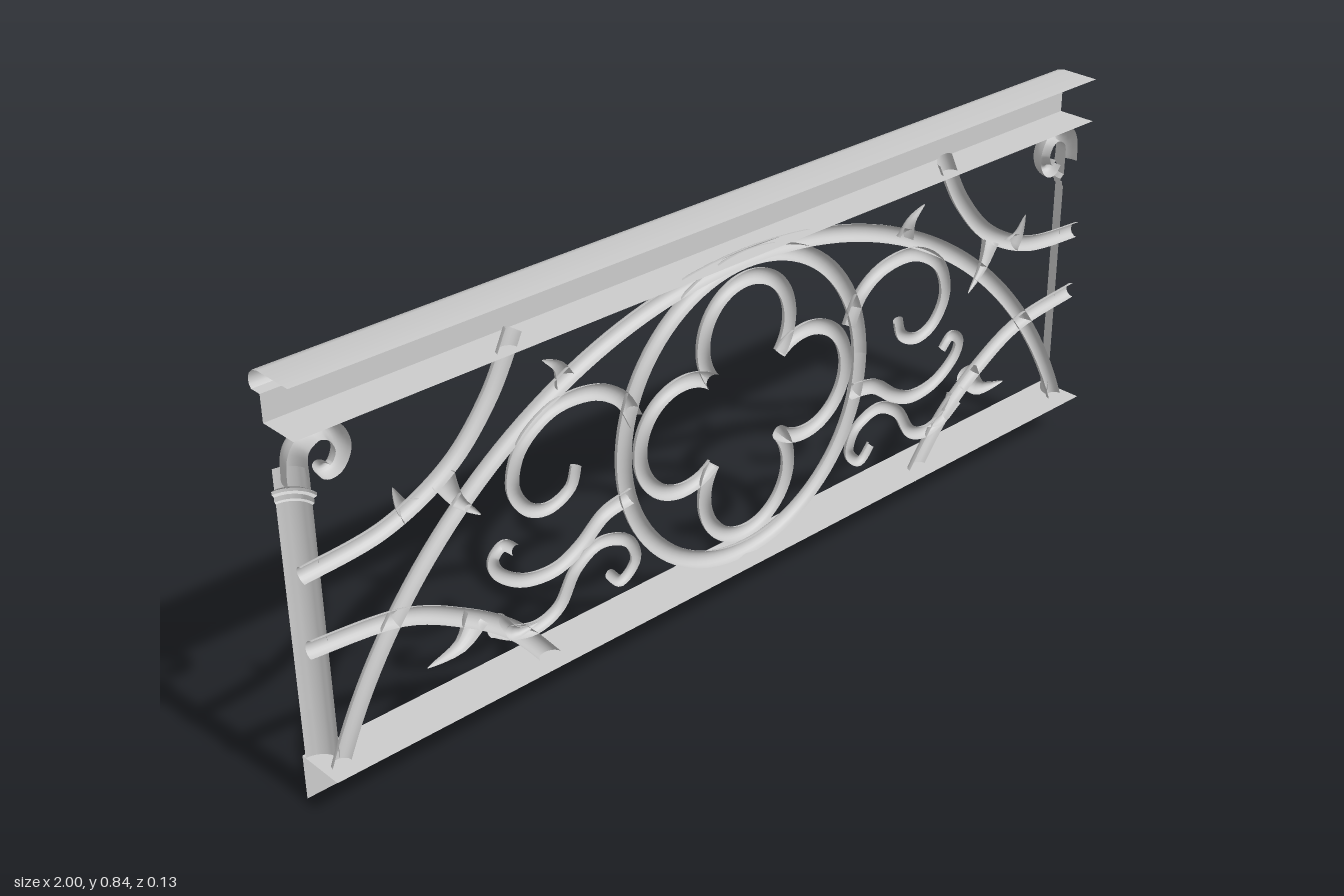
import * as THREE from 'three';
import { toCreasedNormals } from 'three/addons/utils/BufferGeometryUtils.js';

const material = new THREE.MeshStandardMaterial({ color: 0xcccccc, side: THREE.DoubleSide });
const FACE = 0.028; // plane on which the open side of the ornament lies

// Skin a grid of cross-sections, each an array of [x, y, z]
function loft(rows) {
  const n = rows[0].length, index = [];
  for (let i = 0; i < rows.length - 1; i++) {
    for (let j = 0; j < n - 1; j++) {
      const a = i * n + j, b = a + n;
      index.push(a, a + 1, b, b, a + 1, b + 1);
    }
  }
  const g = new THREE.BufferGeometry();
  g.setAttribute('position', new THREE.Float32BufferAttribute(rows.flat(2), 3));
  g.setIndex(index);
  g.computeVertexNormals();
  return g;
}

// Half-round bar along a curve in the xy plane, open to +z and bulging to -z
function halfBar(curve, r0, r1, { steps = 48, z = FACE, depth = 1 } = {}) {
  const rows = [];
  for (let i = 0; i <= steps; i++) {
    const t = i / steps, p = curve.getPoint(t), d = curve.getTangent(t);
    const r = r0 + (r1 - r0) * t, row = [];
    for (let j = 0; j <= 10; j++) {
      const a = Math.PI * j / 10, k = r * Math.cos(a);
      row.push([p.x + d.y * k, p.y - d.x * k, z - depth * r * Math.sin(a)]);
    }
    rows.push(row);
  }
  return loft(rows);
}

const spline = (points, s) =>
  new THREE.SplineCurve(points.map(([x, y]) => new THREE.Vector2(x * s, y)));
const arc = (x, y, r, from, to) => new THREE.EllipseCurve(x, y, r, r, from, to);

export function createModel() {
  const model = new THREE.Group();
  const add = (name, geometry) => {
    const mesh = new THREE.Mesh(geometry, material);
    mesh.name = name;
    model.add(mesh);
  };

  // Rails: open sheet profiles in [z, y], run along x
  const rail = (profile) => {
    const ends = [-1, 1].map((x) => profile.map(([z, y]) => [x, y, z]));
    return toCreasedNormals(loft(ends).toNonIndexed(), 0.7);
  };
  add('handrail', rail([
    [0.045, 0.745], [-0.04, 0.745], [-0.04, 0.797], [-0.064, 0.797], [-0.069, 0.803],
    [-0.07, 0.813], [-0.066, 0.825], [-0.056, 0.834], [-0.04, 0.838], [0.045, 0.838],
  ]));
  add('bottomRail', rail([[0.065, 0.093], [-0.04, 0.093], [-0.04, 0]]));

  // Main arch
  const archR = 1.043, archY = -0.303, foot = Math.atan2(0.383, 0.97);
  add('arch', halfBar(arc(0, archY, archR, foot, Math.PI - foot), 0.018, 0.018, { steps: 80 }));

  // Central ring and quatrefoil
  const cy = 0.423;
  add('ring', halfBar(arc(0, cy, 0.313, 0, Math.PI * 2), 0.018, 0.018, { steps: 80 }));
  for (let i = 0; i < 4; i++) {
    const turn = i * Math.PI / 2, half = 2.25;
    add('quatrefoilLobe', halfBar(
      arc(0.16 * Math.cos(turn), cy + 0.16 * Math.sin(turn), 0.113, turn - half, turn + half),
      0.016, 0.016));
  }

  // Branches and scrolls: name, start radius, end radius, centre line
  const bars = [
    ['upperBranch', 0.017, 0.019,
      [[1, 0.49], [0.837, 0.508], [0.70, 0.572], [0.607, 0.67], [0.548, 0.778]]],
    ['lowerBranch', 0.017, 0.019,
      [[1, 0.345], [0.82, 0.325], [0.69, 0.265], [0.58, 0.185], [0.485, 0.07]]],
    ['upperScroll', 0.017, 0.012,
      [[0.28, 0.50], [0.315, 0.56], [0.38, 0.597], [0.47, 0.598], [0.545, 0.55], [0.568, 0.48],
        [0.54, 0.425], [0.49, 0.405], [0.44, 0.425], [0.425, 0.465]]],
    ['waveScroll', 0.017, 0.011,
      [[0.295, 0.35], [0.36, 0.338], [0.42, 0.295], [0.48, 0.272], [0.55, 0.28], [0.605, 0.315],
        [0.62, 0.35], [0.595, 0.372], [0.568, 0.35]]],
    ['lowerScroll', 0.015, 0.011,
      [[0.59, 0.185], [0.53, 0.17], [0.475, 0.19], [0.435, 0.25], [0.375, 0.282], [0.31, 0.26],
        [0.29, 0.21], [0.325, 0.178], [0.355, 0.205]]],
  ];

  // Thorns and leaves: base radius and centre line towards the tip
  const thorns = [
    [0.022, [[0.44, 0.64], [0.455, 0.675], [0.49, 0.70]]],
    [0.024, [[0.78, 0.52], [0.80, 0.54], [0.815, 0.58]]],
    [0.024, [[0.71, 0.55], [0.685, 0.50], [0.64, 0.455]]],
    [0.030, [[0.66, 0.25], [0.70, 0.21], [0.775, 0.20]]],
    [0.024, [[0.62, 0.215], [0.58, 0.18], [0.53, 0.18]]],
  ];

  // Corner post in [radius, y]: a quarter pipe with a collar
  const post = [[0.042, 0.093], [0.042, 0.60], [0.046, 0.602], [0.046, 0.611], [0.052, 0.613],
    [0.052, 0.619], [0.042, 0.627], [0.042, 0.665]].map(([r, y]) => new THREE.Vector2(r, y));
  const crook = [[0.979, 0.645], [0.977, 0.69], [0.962, 0.714], [0.932, 0.726], [0.903, 0.712],
    [0.89, 0.68], [0.902, 0.652], [0.922, 0.646], [0.935, 0.66]];

  for (const s of [1, -1]) {
    const side = s > 0 ? 'left' : 'right';
    for (const [name, r0, r1, points] of bars) {
      add(side + name[0].toUpperCase() + name.slice(1), halfBar(spline(points, s), r0, r1));
    }
    for (const [r, points] of thorns) {
      add(side + 'Thorn', halfBar(spline(points, s), r, 0.001, { steps: 8 }));
    }

    const pipe = new THREE.LatheGeometry(post, 10, s > 0 ? Math.PI : Math.PI / 2, Math.PI / 2);
    pipe.translate(s, 0, 0.012);
    add(side + 'Post', toCreasedNormals(pipe.toNonIndexed(), 0.6));
    add(side + 'PostCrook', halfBar(spline(crook, s), 0.021, 0.012, { z: 0.012, depth: 1.95 }));
  }

  return model;
}
